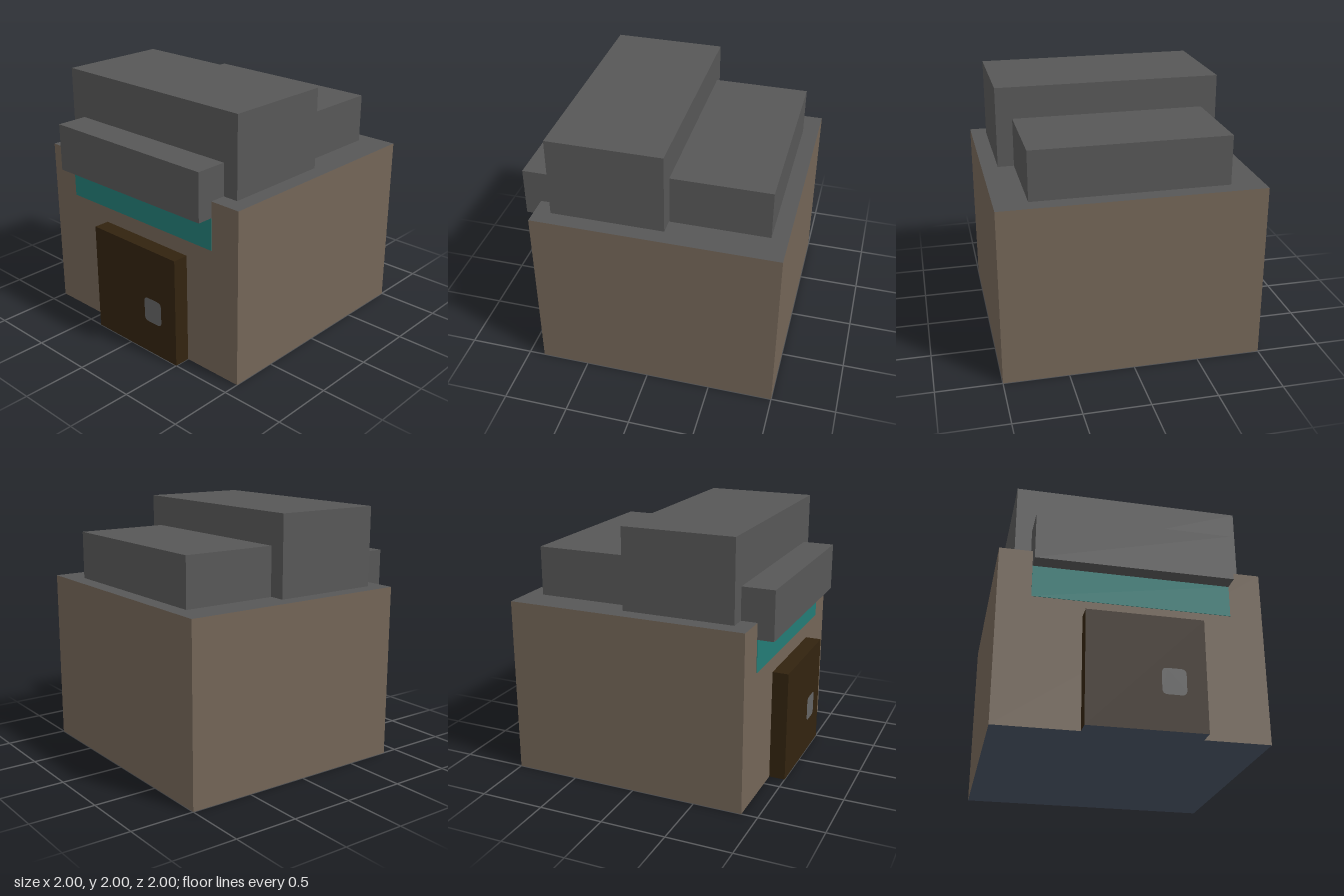
import * as THREE from 'three';

export function createModel() {
  const model = new THREE.Group();
  model.name = 'building';

  const material = (name, color, extra = {}) => {
    const m = new THREE.MeshStandardMaterial({ color, ...extra });
    m.name = name;
    return m;
  };
  const wall = material('brown wall', 0x736557);
  const grey = material('roof grey', 0x575757);
  const wood = material('dark wood', 0x32230f);
  const teal = material('teal', 0x237b75);
  const slate = material('slate base', 0x4a5465);
  const metal = material('handle grey', 0x646464);

  // Box given by its two opposite corners
  const box = (name, [x0, y0, z0], [x1, y1, z1], mat) => {
    const mesh = new THREE.Mesh(new THREE.BoxGeometry(x1 - x0, y1 - y0, z1 - z0), mat);
    mesh.position.set((x0 + x1) / 2, (y0 + y1) / 2, (z0 + z1) / 2);
    mesh.name = name;
    model.add(mesh);
    return mesh;
  };

  // Main body: brown walls, grey roof, slate underside
  box('body', [-0.875, 0, -1], [1, 1.375, 1], [wall, wall, grey, slate, wall, wall]);

  // Roof blocks
  box('tallRoofBlock', [-0.75, 1.375, -0.875], [0.12, 2, 0.875], grey);
  box('lowRoofBlock', [0.125, 1.375, -0.75], [0.875, 1.755, 0.75], grey);
  box('overhang', [-1, 1.25, -0.75], [-0.75, 1.625, 0.75], grey);

  // Teal strip on the wall below the overhang
  box('tealStrip', [-0.879, 1, -0.75], [-0.87, 1.25, 0.75], teal);

  // Door slab on the side wall
  box('door', [-1, 0, -0.375], [-0.875, 0.875, 0.5], [wood, wood, wood, slate, wood, wood]);

  // Door plate with rounded corners, facing -x
  const w = 0.09, h = 0.1, r = 0.04;
  const plate = new THREE.Shape();
  plate.moveTo(-w + r, -h);
  plate.lineTo(w - r, -h);
  plate.quadraticCurveTo(w, -h, w, -h + r);
  plate.lineTo(w, h - r);
  plate.quadraticCurveTo(w, h, w - r, h);
  plate.lineTo(-w + r, h);
  plate.quadraticCurveTo(-w, h, -w, h - r);
  plate.lineTo(-w, -h + r);
  plate.quadraticCurveTo(-w, -h, -w + r, -h);
  const doorPlate = new THREE.Mesh(new THREE.ShapeGeometry(plate, 6), metal);
  doorPlate.rotation.y = -Math.PI / 2;
  doorPlate.position.set(-1.003, 0.37, 0.26);
  doorPlate.name = 'doorPlate';
  model.add(doorPlate);

  return model;
}
